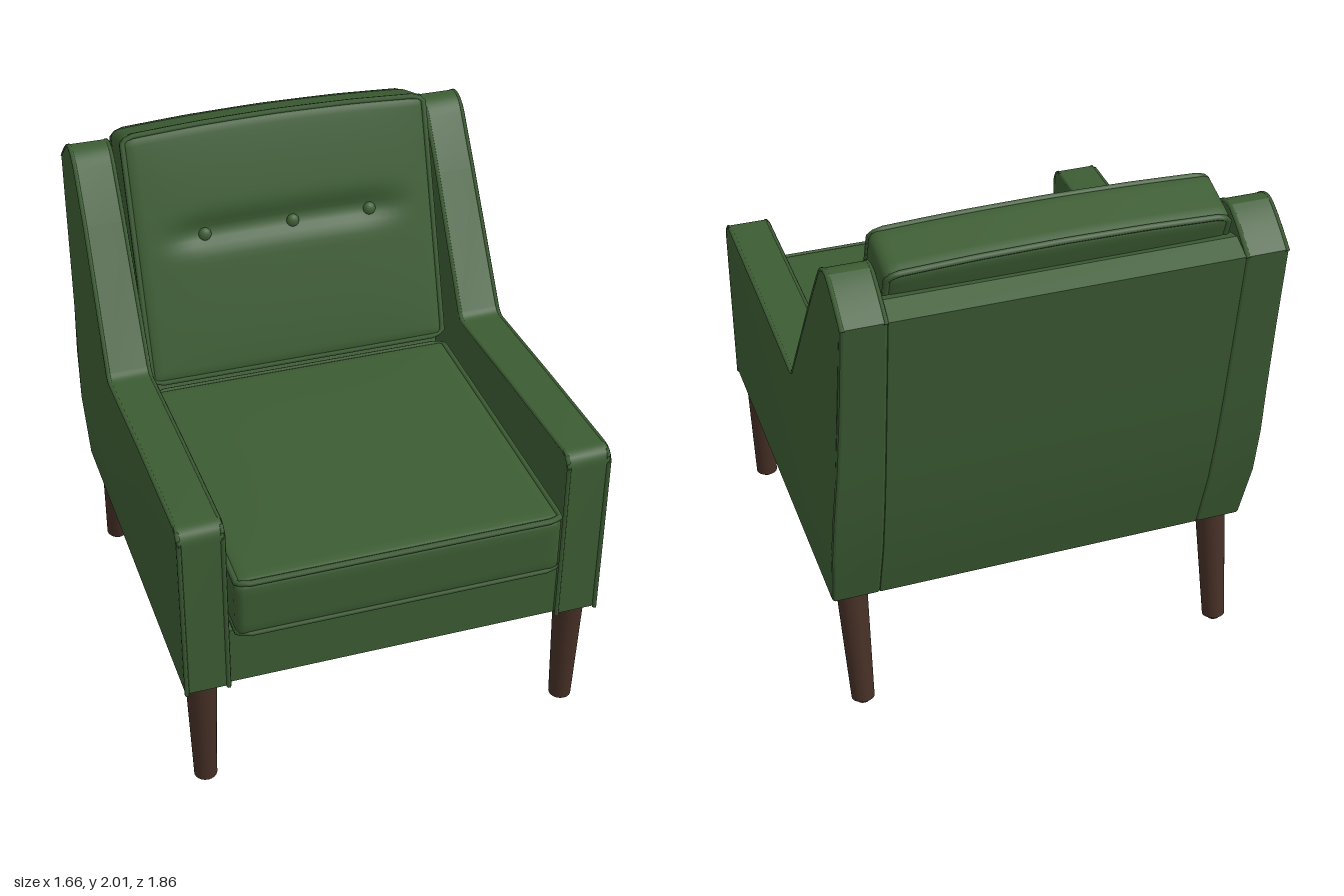
import * as THREE from 'three';
import { mergeVertices, toCreasedNormals } from 'three/addons/utils/BufferGeometryUtils.js';

const fabric = new THREE.MeshStandardMaterial({ name: 'green fabric', color: 0x3c5c33 });
const wood = new THREE.MeshStandardMaterial({ name: 'dark wood', color: 0x452f25 });

// Rear edge shared by the arms and the back, as (z, y) from top to bottom
const REAR = [[-0.93, 1.8], [-0.885, 1.45], [-0.845, 1.15], [-0.815, 0.95], [-0.775, 0.74], [-0.705, 0.49]]
  .map(([z, y]) => new THREE.Vector2(z, y));

function add(parent, name, geometry, material = fabric) {
  const mesh = new THREE.Mesh(geometry, material);
  mesh.name = name;
  parent.add(mesh);
  return mesh;
}

// Extrudes a (z, y) outline across x, centred on x = 0, with soft edges
function sidewaysExtrude(points, width, bevel) {
  const geometry = new THREE.ExtrudeGeometry(new THREE.Shape(points), {
    depth: width - 2 * bevel, bevelThickness: bevel, bevelSize: bevel, bevelOffset: -bevel, bevelSegments: 2,
  });
  geometry.translate(0, 0, bevel - width / 2);
  geometry.rotateY(-Math.PI / 2);
  return geometry;
}

function piping(points, closed, radius) {
  const curve = new THREE.CatmullRomCurve3(points, closed, 'catmullrom', 0.15);
  return new THREE.TubeGeometry(curve, 140, radius, 6, closed);
}

// Soft block facing +z: rounded edges, slight puff, optional arched top and tufted row
function addCushion(parent, name, w, h, d, { arch = 0, dent = null } = {}) {
  const group = new THREE.Group();
  group.name = name;
  const rise = (x, y) => arch * (y / h + 0.5) * (1 - (2 * x / w) ** 2);
  const r = 0.03;
  let geometry = new THREE.BoxGeometry(w, h, d, 42, 42, 8);
  geometry.deleteAttribute('uv');
  geometry.deleteAttribute('normal');
  const pos = geometry.attributes.position;
  const p = new THREE.Vector3();
  const core = new THREE.Vector3();
  const limit = new THREE.Vector3(w / 2 - r, h / 2 - r, d / 2 - r);
  for (let i = 0; i < pos.count; i++) {
    p.fromBufferAttribute(pos, i);
    core.copy(p).clamp(limit.clone().negate(), limit);
    p.sub(core).setLength(r).add(core);
    const puff = (1 - (2 * p.x / w) ** 4) * (1 - (2 * p.y / h) ** 4);
    p.z += 0.012 * puff * Math.sign(p.z) * Math.min(1, Math.abs(2 * p.z / d) ** 3);
    if (dent && p.z > d / 4) {
      const fade = 1 - THREE.MathUtils.smoothstep(Math.abs(p.x), 0.3, 0.55);
      p.z -= dent.depth * fade * Math.exp(-(((p.y - dent.y) / 0.05) ** 2));
    }
    p.y += rise(p.x, p.y);
    pos.setXYZ(i, p.x, p.y, p.z);
  }
  geometry = mergeVertices(geometry, 1e-5);
  geometry.computeVertexNormals();
  add(group, name + 'Body', geometry);

  // Piping round the front and rear seams
  const x = w / 2 - 0.008, y = h / 2 - 0.008, c = 0.045;
  const outline = new THREE.Path();
  outline.moveTo(-x + c, -y).lineTo(0, -y).lineTo(x - c, -y).quadraticCurveTo(x, -y, x, -y + c);
  outline.lineTo(x, y - c).quadraticCurveTo(x, y, x - c, y);
  for (const t of [0.5, 0, -0.5]) outline.lineTo(x * t, y);
  outline.lineTo(-x + c, y).quadraticCurveTo(-x, y, -x, y - c);
  outline.lineTo(-x, -y + c).quadraticCurveTo(-x, -y, -x + c, -y);
  const loop = outline.getPoints(4).slice(0, -1);
  for (const side of [1, -1]) {
    const points = loop.map((q) => new THREE.Vector3(q.x, q.y + rise(q.x, q.y), side * (d / 2 - 0.01)));
    add(group, name + 'Piping', piping(points, true, 0.012));
  }
  parent.add(group);
  return group;
}

function addArm(parent, side) {
  const group = new THREE.Group();
  group.name = side > 0 ? 'leftArm' : 'rightArm';
  // Upper edge from the front foot of the arm up to the top of the wing
  const ridge = new THREE.Path();
  ridge.moveTo(0.875, 0.515).lineTo(0.872, 1.19).quadraticCurveTo(0.87, 1.25, 0.81, 1.25);
  ridge.lineTo(0.3, 1.22).lineTo(-0.17, 1.185).quadraticCurveTo(-0.205, 1.18, -0.225, 1.21);
  ridge.lineTo(-0.53, 1.685).lineTo(-0.66, 1.87).quadraticCurveTo(-0.71, 1.935, -0.77, 1.92);
  ridge.quadraticCurveTo(-0.83, 1.89, -0.93, 1.8);
  const top = ridge.getPoints(6);
  const inner = 0.637, outer = 0.81, middle = (inner + outer) / 2;

  const geometry = sidewaysExtrude([...top, ...REAR.slice(1)], outer - inner, 0.012);
  geometry.translate(side * middle, 0, 0);
  // Outer face swells low at the rear and leans in towards the top
  const swell = (y, z) => 0.022 * Math.exp(-(((y - 0.78) / 0.35) ** 2)) * THREE.MathUtils.smoothstep(-z, -0.9, 0.8)
    - 0.008 * THREE.MathUtils.smoothstep(y, 1.2, 1.9);
  const pos = geometry.attributes.position;
  for (let i = 0; i < pos.count; i++) {
    const x = pos.getX(i);
    if (Math.abs(x) > middle) pos.setX(i, x + side * swell(pos.getY(i), pos.getZ(i)));
  }
  add(group, 'armPanel', toCreasedNormals(geometry, 0.35));

  // Piping along both edges
  for (const [x, lean] of [[inner + 0.008, 0], [outer - 0.008, 1]]) {
    const points = top.map((q) => new THREE.Vector3(side * (x + lean * swell(q.y, q.x)), q.y - 0.006, q.x));
    add(group, 'armPiping', piping(points, false, 0.009));
  }
  parent.add(group);
}

function addLeg(parent, name, x, y, z, length, tilt) {
  const leg = new THREE.Group();
  leg.name = name;
  const shaft = new THREE.CylinderGeometry(0.06, 0.044, length, 20);
  shaft.translate(0, -length / 2, 0);
  add(leg, 'legShaft', shaft, wood);
  const glide = new THREE.CylinderGeometry(0.024, 0.022, 0.02, 14);
  glide.translate(0, -length - 0.008, 0);
  add(leg, 'legGlide', glide, wood);
  leg.position.set(x, y, z);
  leg.rotation.x = tilt;
  parent.add(leg);
}

export function createModel() {
  const chair = new THREE.Group();
  chair.name = 'armchair';

  for (const side of [1, -1]) addArm(chair, side);

  // Back shell between the arms
  const shell = [[-0.45, 0.5], [-0.45, 0.9], [-0.8, 1.83], [-0.85, 1.84]].map(([z, y]) => new THREE.Vector2(z, y));
  add(chair, 'backShell', toCreasedNormals(sidewaysExtrude([...shell, ...REAR], 1.28, 0.004), 0.35));

  // Seat base with front rail and the cover beneath
  const base = [[0.862, 0.517], [0.862, 0.762], [-0.5, 0.762], [-0.68, 0.495]].map(([z, y]) => new THREE.Vector2(z, y));
  add(chair, 'seatBase', toCreasedNormals(sidewaysExtrude(base, 1.28, 0.006), 0.35));
  const cover = add(chair, 'underCover', new THREE.BoxGeometry(1.24, 0.008, 1.2));
  cover.position.set(0, 0.503, 0.08);
  cover.rotation.x = -0.0143;

  // Cushions
  const seat = addCushion(chair, 'seatCushion', 1.24, 1.25, 0.25);
  seat.rotation.x = -Math.PI / 2;
  seat.position.set(0, 0.893, 0.295);

  const back = addCushion(chair, 'backCushion', 1.24, 1.0, 0.22, { arch: 0.022, dent: { y: 0.075, depth: 0.035 } });
  back.rotation.x = -0.328;
  back.position.set(0, 1.48, -0.579);

  // Tufting buttons
  for (const x of [-0.33, 0.03, 0.35]) {
    const button = add(back, 'button', new THREE.SphereGeometry(0.026, 16, 10));
    button.scale.z = 0.6;
    button.position.set(x, 0.075, 0.095);
  }

  // Straight front legs, raked rear legs
  for (const side of [1, -1]) {
    addLeg(chair, 'frontLeg', side * 0.73, 0.53, 0.795, 0.512, 0);
    addLeg(chair, 'rearLeg', side * 0.73, 0.52, -0.628, 0.508, 0.215);
  }
  return chair;
}
